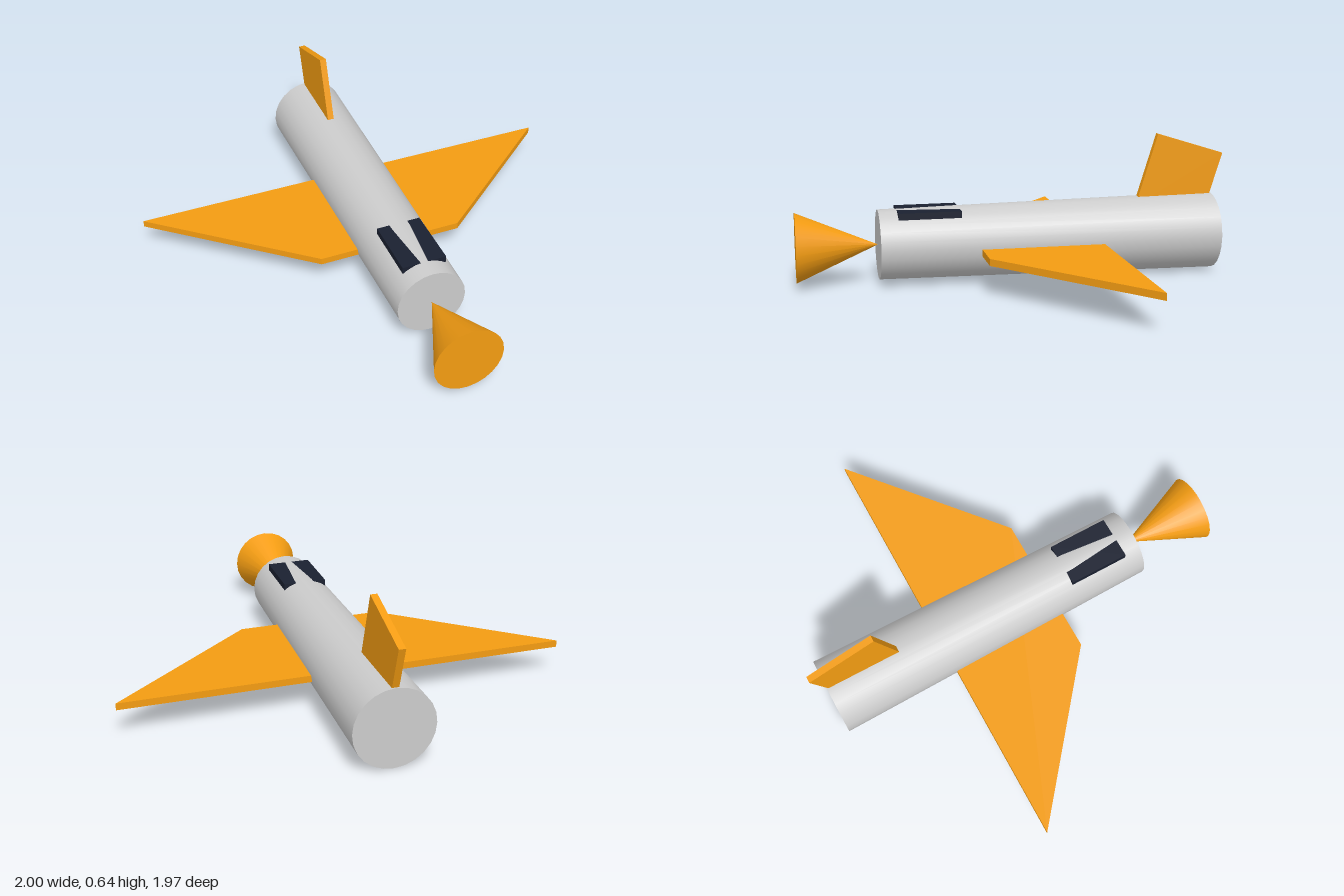
import * as THREE from 'three';

const grey = new THREE.MeshStandardMaterial({ color: 0xcccccc });
const orange = new THREE.MeshStandardMaterial({ color: 0xf39c12 });
const dark = new THREE.MeshStandardMaterial({ color: 0x1a2030 });

const AXIS_Y = 0.177; // height of the fuselage axis

function part(name, geometry, material, x, y, z) {
  const mesh = new THREE.Mesh(geometry, material);
  mesh.name = name;
  mesh.position.set(x, y, z);
  return mesh;
}

export function createModel() {
  const model = new THREE.Group();
  model.name = 'toyPlane';

  // Fuselage: tapered tube, narrower at the front
  const fuselage = new THREE.CylinderGeometry(0.156, 0.177, 1.556, 24).rotateX(Math.PI / 2);
  model.add(part('fuselage', fuselage, grey, 0, AXIS_Y, -0.157));

  // Nose cone: apex touches the fuselage, wide base faces forward
  const nose = new THREE.ConeGeometry(0.155, 0.362, 24).rotateX(-Math.PI / 2);
  model.add(part('noseCone', nose, orange, 0, AXIS_Y, 0.803));

  // Wings: one flat plate running through the fuselage (shape y becomes -z)
  const outline = new THREE.Shape([
    [-1, 0.38], [-0.332, -0.178], [0.332, -0.178], [1, 0.38],
  ].map(([x, y]) => new THREE.Vector2(x, y)));
  const wings = new THREE.ExtrudeGeometry(outline, { depth: 0.031, bevelEnabled: false })
    .rotateX(-Math.PI / 2);
  model.add(part('wings', wings, orange, 0, 0.137, 0));

  // Tail fin: plate leaning backwards
  const fin = part('tailFin', new THREE.BoxGeometry(0.03, 0.35, 0.33), orange, 0, 0.422, -0.777);
  fin.rotation.x = -0.3;
  model.add(fin);

  // Canopy: flat box that the fuselage top splits into two windows
  model.add(part('canopy', new THREE.BoxGeometry(0.2, 0.03, 0.279), dark, 0, 0.317, 0.3985));

  return model;
}
